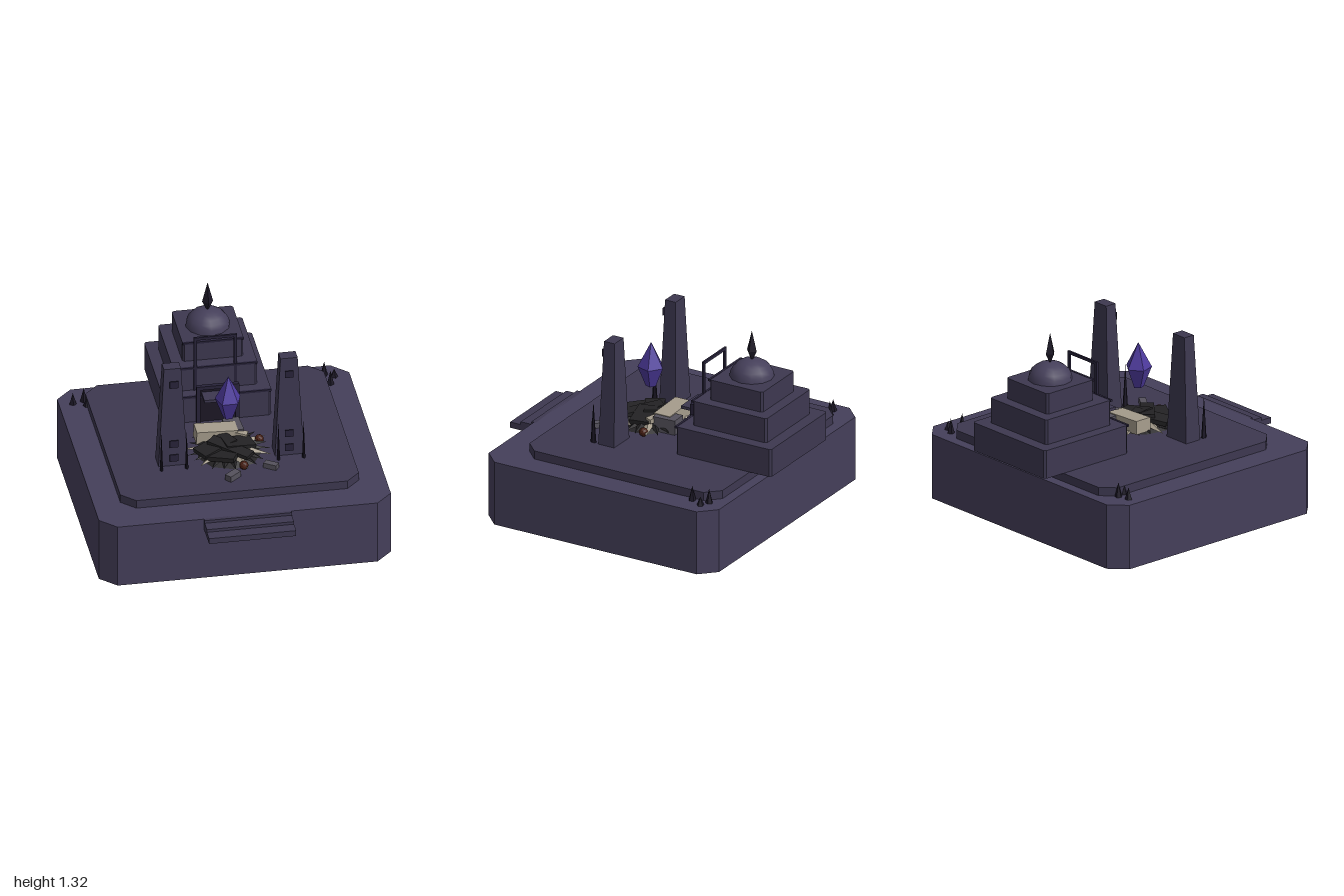
import * as THREE from 'three';

const mat = (color, flatShading = true) =>
  new THREE.MeshStandardMaterial({ color, flatShading, side: THREE.DoubleSide });
const STONE = mat(0x453f5a), WALL = mat(0x3d3850), TRIM = mat(0x28233a), DOME = mat(0x453f5a, false);
const DARK = mat(0x1c1826), CRYSTAL = mat(0x4d3a9c), CHAR = mat(0x232224);
const BONE = mat(0xa59c8c), GREY = mat(0x55525c), EMBER = mat(0x4a2014);

export function createModel() {
  const model = new THREE.Group();

  const add = (name, geo, material, x = 0, y = 0, z = 0, rx = 0, ry = 0, rz = 0) => {
    const m = new THREE.Mesh(geo, material);
    m.name = name;
    m.position.set(x, y, z);
    m.rotation.set(rx, ry, rz, 'YXZ');
    model.add(m);
    return m;
  };
  const box = (name, material, x0, x1, y0, y1, z0, z1) =>
    add(name, new THREE.BoxGeometry(x1 - x0, y1 - y0, z1 - z0), material,
      (x0 + x1) / 2, (y0 + y1) / 2, (z0 + z1) / 2);

  // Block with its four vertical corners cut off
  const cutBlock = (name, material, hx, z0, z1, y0, y1, c) => {
    const pts = [[-hx + c, z0], [hx - c, z0], [hx, z0 + c], [hx, z1 - c],
      [hx - c, z1], [-hx + c, z1], [-hx, z1 - c], [-hx, z0 + c]];
    const shape = new THREE.Shape(pts.map(([x, z]) => new THREE.Vector2(x, -z)));
    const geo = new THREE.ExtrudeGeometry(shape, { depth: y1 - y0, bevelEnabled: false });
    geo.rotateX(-Math.PI / 2);
    return add(name, geo, material, 0, y0, 0);
  };

  // Island base, raised court and front steps
  cutBlock('base', STONE, 0.955, -0.91, 0.82, 0, 0.44, 0.105);
  cutBlock('court', WALL, 0.78, -0.84, 0.61, 0.44, 0.497, 0.09);
  [[1.0, 0.4], [0.92, 0.42], [0.84, 0.44]].forEach(([z, y]) =>
    box('frontStep', WALL, -0.285, 0.285, 0.36, y, 0.8, z));

  // Stepped temple: half width, back, front, bottom, top
  [[0.352, -1, -0.285, 0.497, 0.69], [0.275, -0.92, -0.362, 0.69, 0.86],
    [0.2, -0.845, -0.445, 0.86, 1.0]].forEach(([hx, z0, z1, y0, y1]) => {
    cutBlock('templeTier', WALL, hx, z0, z1, y0, y1, 0.014);
    box('tierTrim', TRIM, -hx, hx, y1 - 0.012, y1 + 0.002, z1 - 0.008, z1 + 0.008);
  });

  // Dome and spire
  const domePts = [];
  for (let i = 0; i <= 6; i++) {
    const a = (i / 6) * Math.PI / 2;
    domePts.push(new THREE.Vector2(0.145 * Math.cos(a), 0.118 * Math.sin(a)));
  }
  add('dome', new THREE.LatheGeometry(domePts, 12), DOME, 0, 1.0, -0.645);
  const spirePts = [[0, 0], [0.036, 0.075], [0, 0.215]].map(p => new THREE.Vector2(...p));
  add('spire', new THREE.LatheGeometry(spirePts, 4), DARK, 0, 1.1, -0.645);

  // Lower doorway, upper gate frame and the ledge between them
  const gate = (name, hx, y0, y1, z, d, t) => {
    for (const s of [-1, 1]) {
      const x = s * (hx - t / 2);
      box(name + 'Post', TRIM, x - t / 2, x + t / 2, y0, y1, z - d, z + d);
    }
    box(name + 'Lintel', TRIM, -hx, hx, y1 - t, y1, z - d, z + d);
  };
  gate('door', 0.14, 0.497, 0.765, -0.28, 0.014, 0.025);
  gate('upperGate', 0.142, 0.69, 1.083, -0.363, 0.007, 0.02);
  box('doorPanel', DARK, -0.11, 0.11, 0.497, 0.74, -0.287, -0.281);
  box('ledge', WALL, -0.105, 0.105, 0.697, 0.717, -0.36, -0.175);

  // Twin pillars with plates and thin stakes
  for (const s of [-1, 1]) {
    const geo = new THREE.BoxGeometry(0.19, 0.715, 0.12);
    const p = geo.attributes.position;
    for (let i = 0; i < p.count; i++)
      if (p.getY(i) > 0) { p.setX(i, p.getX(i) * 0.59); p.setZ(i, p.getZ(i) * 0.66); }
    geo.computeVertexNormals();
    add('pillar', geo, WALL, s * 0.381, 0.854, 0.163);
    for (const y of [0.56, 0.665, 1.11])
      box('plate', TRIM, s * 0.377 - 0.028, s * 0.377 + 0.028, y - 0.025, y + 0.025, 0.232, 0.238);
    for (const x of [0.3, 0.465]) {
      const stake = add('stake', new THREE.ConeGeometry(0.022, 0.29, 5), DARK, s * x, 0.64, 0.265);
      stake.scale.x = 0.5;
    }
  }

  // Floating crystal
  const gem = [[0, 0], [0.035, 0], [0.088, 0.135], [0, 0.305]].map(p => new THREE.Vector2(...p));
  add('crystal', new THREE.LatheGeometry(gem, 5), CRYSTAL, 0, 0.755, 0.112, 0, Math.PI, 0);

  // Starburst of shards under the crystal
  const N = 22;
  for (let i = 0; i < N; i++) {
    const a = (i / N) * Math.PI * 2;
    const len = 0.13 + 0.03 * ((i * 7) % 3);
    const r = 0.265 - len / 2 + 0.012 * ((i * 5) % 3);
    const shard = add('shard', new THREE.ConeGeometry(0.037, len, 4), i % 3 === 1 ? BONE : CHAR,
      Math.sin(a) * r, 0.527, 0.115 + Math.cos(a) * r, Math.PI / 2 + 0.08, a, 0);
    shard.scale.z = 0.6;
  }

  // Rubble heap of charred slabs and pale blocks
  add('heapCore', new THREE.CylinderGeometry(0.1, 0.21, 0.065, 9), CHAR, 0, 0.53, 0.13);
  [[CHAR, -0.09, 0.565, 0.14, 0.26, 0.03, 0.13, 0.5, 0.12], [CHAR, 0.0, 0.57, 0.19, 0.3, 0.025, 0.09, -0.7, -0.1],
    [CHAR, -0.07, 0.55, 0.25, 0.2, 0.03, 0.1, -0.5, 0.1], [CHAR, 0.06, 0.56, 0.13, 0.2, 0.04, 0.13, 0.2, -0.15],
    [BONE, -0.06, 0.565, -0.015, 0.27, 0.09, 0.12, 0, -0.04], [GREY, 0.06, 0.55, -0.05, 0.11, 0.1, 0.16, 0.05, 0],
    [BONE, 0.08, 0.575, 0.03, 0.12, 0.03, 0.05, -0.4, -0.1], [GREY, -0.03, 0.52, 0.45, 0.1, 0.04, 0.05, 0.7, 0],
    [GREY, 0.235, 0.515, 0.36, 0.09, 0.035, 0.045, -0.6, 0], [CHAR, -0.12, 0.52, -0.14, 0.08, 0.04, 0.05, -0.6, 0]]
    .forEach(([m, x, y, z, w, h, d, ry, rz]) =>
      add('rubble', new THREE.BoxGeometry(w, h, d), m, x, y, z, 0, ry, rz));
  [[0.215, 0.04], [0.13, 0.14], [0.06, 0.345]].forEach(([x, z]) =>
    add('ember', new THREE.IcosahedronGeometry(0.03, 1), EMBER, x, 0.525, z));

  // Small spikes on the back corners
  [[-0.865, -0.735, 0.08], [-0.79, -0.755, 0.1], [-0.78, -0.695, 0.06],
    [0.79, -0.8, 0.1], [0.85, -0.77, 0.06], [0.81, -0.685, 0.1]].forEach(([x, z, h], i) =>
    add('cornerSpike', new THREE.ConeGeometry(0.025, h, 5), DARK, x, 0.44 + h / 2, z, 0, i, 0));

  return model;
}
